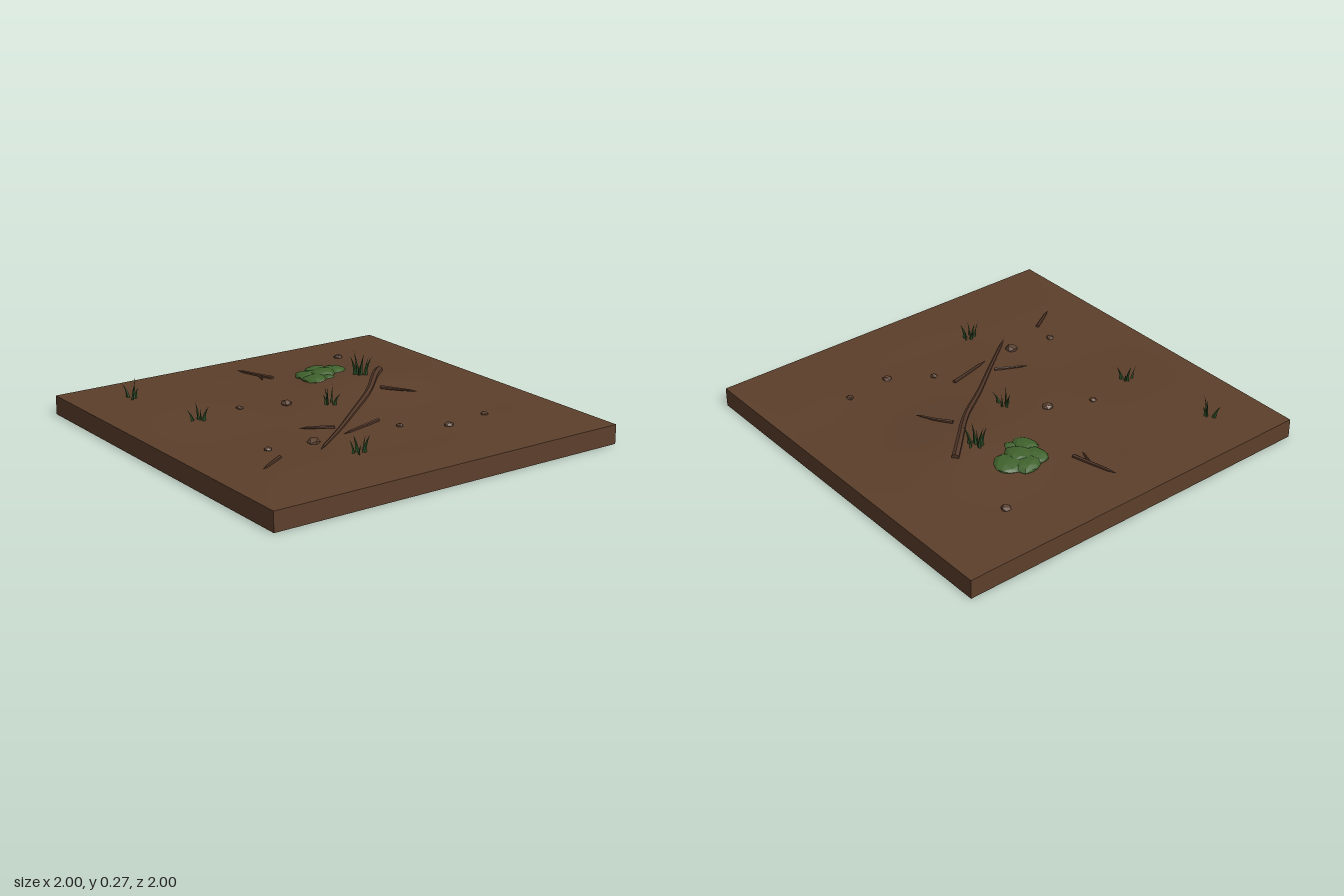
import * as THREE from 'three';

const mat = (name, color, flatShading = true, side = THREE.FrontSide) =>
  Object.assign(new THREE.MeshStandardMaterial({ color, flatShading, side }), { name });

// Ground height: a low mound on a nearly level patch, flat at the border
function groundY(x, z) {
  const edge = Math.min(1, (1 - Math.max(Math.abs(x), Math.abs(z))) / 0.25);
  const mound = 0.05 * Math.exp(-((x + 0.2) ** 2 + (z + 0.38) ** 2) / 0.125);
  const ripple = 0.004 + 0.002 * Math.sin(x * 6 + 1) * Math.cos(z * 5);
  return 0.1 + Math.max(0, edge) * (mound + ripple);
}

// Tapered round stick along a smooth path, closed at both ends
function stick(points, r0, r1, sides = 6) {
  const curve = new THREE.CatmullRomCurve3(points.map(p => new THREE.Vector3(...p)));
  const n = points.length > 3 ? 16 : 6;
  const geo = new THREE.TubeGeometry(curve, n, 1, sides, false);
  const pos = geo.attributes.position, v = new THREE.Vector3();
  for (let i = 0; i <= n; i++) {
    const c = curve.getPointAt(i / n);
    const end = curve.getPointAt(Math.min(Math.max(i, 1), n - 1) / n);
    const cap = i === 0 || i === n;
    const r = r0 + (r1 - r0) * i / n;
    for (let j = 0; j <= sides; j++) {
      const k = i * (sides + 1) + j;
      v.fromBufferAttribute(pos, k).sub(c).multiplyScalar(cap ? 0 : r).add(i === 0 ? end : c);
      pos.setXYZ(k, v.x, v.y, v.z);
    }
  }
  geo.computeVertexNormals();
  return geo;
}

// Faceted lump with slightly uneven radius
function lump(detail, seed) {
  const geo = new THREE.IcosahedronGeometry(1, detail);
  const pos = geo.attributes.position, v = new THREE.Vector3();
  for (let i = 0; i < pos.count; i++) {
    v.fromBufferAttribute(pos, i);
    v.multiplyScalar(1 + 0.1 * Math.sin(v.x * 4 + seed) * Math.cos(v.z * 3 + seed * 2));
    pos.setXYZ(i, v.x, v.y, v.z);
  }
  geo.computeVertexNormals();
  return geo;
}

// Narrow pointed leaf that bends over towards +x
function blade(h, lean) {
  const geo = new THREE.ConeGeometry(0.012, h, 4, 5).translate(0, h / 2, 0).scale(1, 1, 0.5);
  const pos = geo.attributes.position;
  for (let i = 0; i < pos.count; i++) {
    const t = pos.getY(i) / h;
    pos.setX(i, pos.getX(i) + lean * t * t);
  }
  geo.computeVertexNormals();
  return geo;
}

export function createModel() {
  const soil = mat('soil', 0x5c3f2b, false, THREE.DoubleSide);
  const bark = mat('bark', 0x533829);
  const stone = mat('stone', 0x5e4433);
  const mossGreen = mat('moss green', 0x40622d);
  const grassGreen = mat('grass green', 0x2f5028, true, THREE.DoubleSide);

  const model = new THREE.Group();
  model.name = 'forestFloor';
  const add = (parent, name, geo, material) => {
    const mesh = new THREE.Mesh(geo, material);
    mesh.name = name;
    parent.add(mesh);
    return mesh;
  };
  const group = name => {
    const g = new THREE.Group();
    g.name = name;
    model.add(g);
    return g;
  };

  // Ground surface
  const top = new THREE.PlaneGeometry(2, 2, 40, 40).rotateX(-Math.PI / 2);
  const p = top.attributes.position;
  for (let i = 0; i < p.count; i++) p.setY(i, groundY(p.getX(i), p.getZ(i)));
  top.computeVertexNormals();
  add(model, 'ground', top, soil);

  // Side walls, open underneath
  for (let i = 0; i < 4; i++) {
    const wall = new THREE.PlaneGeometry(2, 0.1).translate(0, 0.05, 1).rotateY(i * Math.PI / 2);
    add(model, 'groundWall', wall, soil);
  }

  // Fallen branch with two twigs
  const branch = group('fallenBranch');
  add(branch, 'mainBranch', stick([[-0.33, 0.138, -0.58], [-0.2, 0.162, -0.44], [-0.02, 0.143, -0.26],
    [0.14, 0.12, -0.05], [0.3, 0.11, 0.15], [0.49, 0.106, 0.4]], 0.021, 0.007), bark);
  add(branch, 'twig', stick([[-0.06, 0.15, -0.32], [0.04, 0.148, -0.39], [0.14, 0.15, -0.45]], 0.011, 0.005), bark);
  add(branch, 'twig', stick([[0.29, 0.112, 0.13], [0.24, 0.114, 0.21], [0.19, 0.114, 0.31]], 0.01, 0.005), bark);

  // Loose sticks lying on the ground: x, z to x, z and radius
  const sticks = group('looseSticks');
  [[0.29, -0.13, 0.37, 0.18, 0.01], [0.45, 0.58, 0.56, 0.76, 0.01],
    [-0.53, -0.06, -0.81, 0.02, 0.011], [-0.67, -0.02, -0.58, 0.01, 0.007]].forEach(([x0, z0, x1, z1, r]) => {
    const at = t => {
      const x = x0 + (x1 - x0) * t, z = z0 + (z1 - z0) * t;
      return [x, groundY(x, z) + 0.005, z];
    };
    add(sticks, 'looseStick', stick([at(0), at(0.5), at(1)], r, r * 0.65), bark);
  });

  // Pebbles: x, z, radius
  const pebbles = group('pebbles');
  [[-0.7, -0.56, 0.026], [0.52, -0.57, 0.02], [0.55, -0.32, 0.025], [0.42, -0.12, 0.02],
    [-0.17, 0.14, 0.031], [-0.26, 0.36, 0.02], [0.38, 0.36, 0.034], [0.34, 0.59, 0.021]].forEach(([x, z, r], i) => {
    const m = add(pebbles, 'pebble', lump(0, i), stone);
    m.position.set(x, groundY(x, z) + r * 0.15, z);
    m.scale.set(r, r * 0.6, r);
    m.rotation.y = i * 1.3;
  });

  // Moss clump of flattened lobes: x, z, radius, centre height
  const moss = group('mossClump');
  [[-0.45, -0.345, 0.078, 0.13], [-0.5, -0.28, 0.074, 0.126], [-0.43, -0.27, 0.07, 0.135],
    [-0.47, -0.2, 0.068, 0.123], [-0.38, -0.19, 0.068, 0.126], [-0.35, -0.25, 0.035, 0.134],
    [-0.35, -0.44, 0.026, 0.132]].forEach(([x, z, r, y], i) => {
    const m = add(moss, 'mossLobe', lump(1, i), mossGreen);
    m.position.set(x, y, z);
    m.scale.set(r, Math.min(0.028, r * 0.5), r);
    m.rotation.y = i * 0.9;
  });

  // Grass tufts: x, z, blade count, tip height
  [[-0.26, -0.38, 6, 0.27], [-0.03, -0.02, 5, 0.21], [0.61, 0.26, 6, 0.19],
    [-0.22, 0.62, 4, 0.19], [-0.72, 0.71, 4, 0.205]].forEach(([x, z, count, tip], t) => {
    const tuft = group('grassTuft');
    tuft.position.set(x, groundY(x, z) - 0.008, z);
    for (let i = 0; i < count; i++) {
      const a = i * 2.4 + t * 1.1;
      const h = (tip - tuft.position.y) * (1 - 0.13 * (i % 4));
      const m = add(tuft, 'grassBlade', blade(h, 0.02 + 0.007 * (i % 3)), grassGreen);
      const r = 0.012 + 0.011 * (i % 3);
      m.position.set(Math.cos(a) * r, 0, Math.sin(a) * r);
      m.rotation.y = -a + 0.4;
    }
  });

  return model;
}
